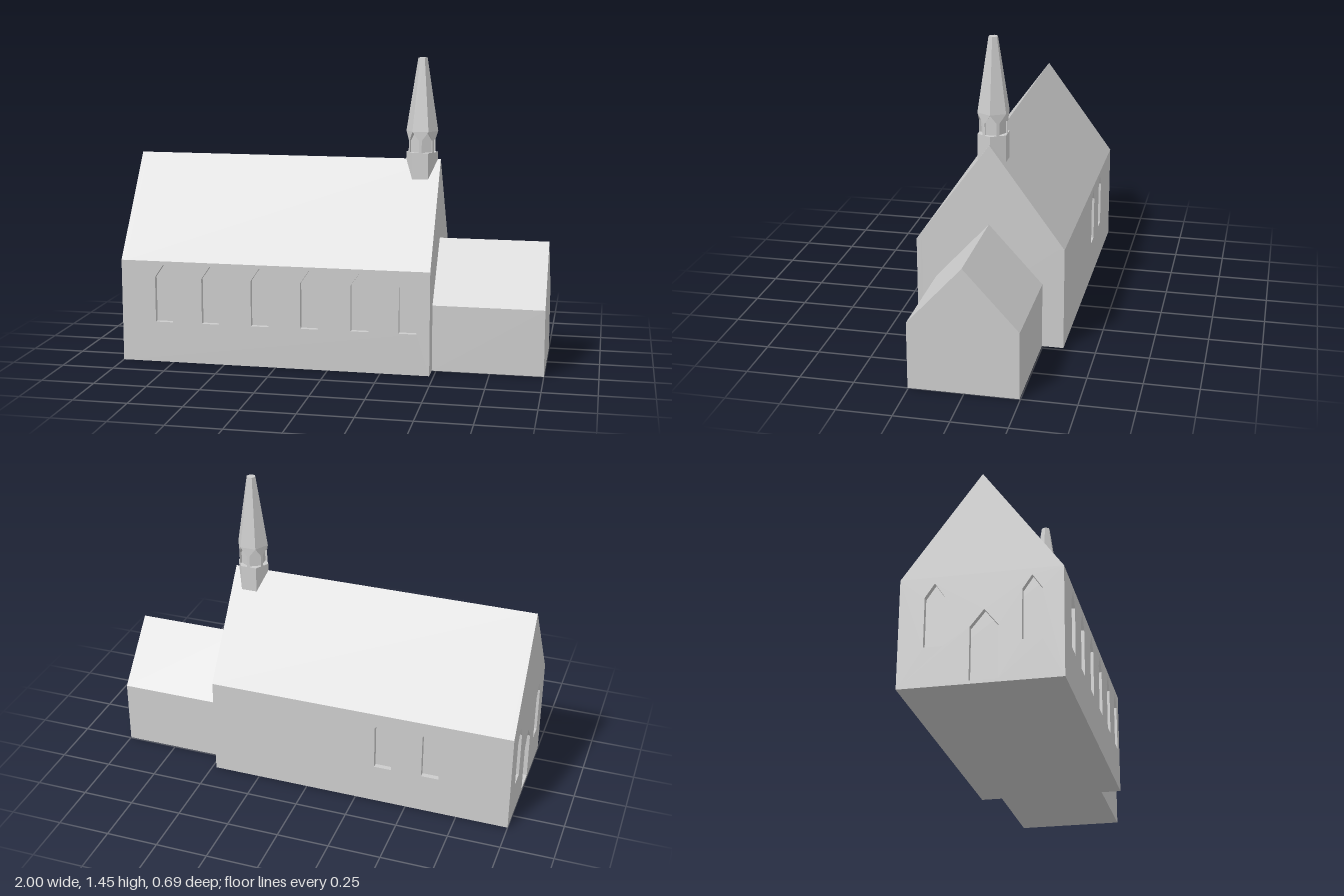
import * as THREE from 'three';

const WALL = 0.025; // recess depth of the windows
const X0 = -1, X1 = 0.48, HALF = 0.347, EAVE = 0.49, RIDGE = 0.965;

export function createModel() {
  const church = new THREE.Group();
  church.name = 'church';
  const stone = new THREE.MeshStandardMaterial({ color: 0xcccccc });
  stone.name = 'stone grey';

  const add = (name, geometry, x = 0, y = 0, z = 0, turn = 0) => {
    const mesh = new THREE.Mesh(geometry, stone);
    mesh.name = name;
    mesh.position.set(x, y, z);
    mesh.rotation.y = turn;
    church.add(mesh);
    return mesh;
  };
  const outline = (pts) => new THREE.Shape(pts.map(([x, y]) => new THREE.Vector2(x, y)));
  const extrude = (shape, depth) => new THREE.ExtrudeGeometry(shape, { depth, bevelEnabled: false });
  const gable = (half, eave, ridge) =>
    outline([[-half, 0], [half, 0], [half, eave], [0, ridge], [-half, eave]]);

  // Cuts a pointed opening into a wall outline
  const cut = (shape, x, width, bottom, shoulder, apex) => {
    const w = width / 2;
    shape.holes.push(outline([
      [x - w, bottom], [x - w, shoulder], [x, apex], [x + w, shoulder], [x + w, bottom],
    ]));
  };

  // Nave: inner core behind the openings, and the roof above it
  const inner = X0 + WALL, length = X1 - inner, mid = (X1 + inner) / 2;
  add('naveCore', new THREE.BoxGeometry(length, EAVE, 2 * (HALF - WALL)), mid, EAVE / 2, 0);
  add('naveRoof', extrude(outline([[-HALF, EAVE], [HALF, EAVE], [0, RIDGE]]), length),
    inner, 0, 0, Math.PI / 2);

  // Long walls with their windows; the back wall is turned, so its x is negated
  const longWall = (name, side, windows) => {
    const a = side * inner, b = side * X1;
    const l = Math.min(a, b), r = Math.max(a, b);
    const shape = outline([[l, 0], [r, 0], [r, EAVE], [l, EAVE]]);
    windows.forEach((x) => cut(shape, side * x, 0.084, 0.195, 0.412, 0.474));
    add(name, extrude(shape, WALL), 0, 0, side * (HALF - WALL), side > 0 ? 0 : Math.PI);
  };
  longWall('frontWall', 1, [-0.793, -0.565, -0.325, -0.087, 0.152, 0.378]);
  longWall('backWall', -1, [-0.383, -0.615]);

  // West gable with a door between two windows
  const west = gable(HALF, EAVE, RIDGE);
  cut(west, -0.197, 0.084, 0.175, 0.4, 0.462);
  cut(west, 0.215, 0.084, 0.175, 0.4, 0.462);
  cut(west, 0.015, 0.12, 0.015, 0.25, 0.325);
  add('westGable', extrude(west, WALL), inner, 0, 0, -Math.PI / 2);

  // Chancel
  add('chancel', extrude(gable(0.25, 0.313, 0.587), 1 - X1), X1, 0, 0.004, Math.PI / 2);

  // Ridge turret: six-sided base, lantern and spire with corners on the x axis
  const TX = 0.39, R = 0.076, LOW = 1.0, HIGH = 1.1;
  const hexagon = (top, bottom, height) =>
    new THREE.CylinderGeometry(top, bottom, height, 6, 1, false, Math.PI / 2).toNonIndexed();
  const flat = (g) => { g.computeVertexNormals(); return g; };
  add('turretBase', flat(hexagon(R, R, 0.2)), TX, LOW - 0.1, 0);
  add('spire', flat(hexagon(0.022, R, 0.345)), TX, HIGH + 0.1725, 0);
  add('lantern', lanternGeometry(R, LOW, 1.058, HIGH), TX, 0, 0);

  return church;
}

// Hexagonal lantern with a pointed niche cut into every corner
function lanternGeometry(R, low, shoulder, high) {
  const w = 0.027, back = 0.05;          // niche half width and back radius
  const m = R / 2 * Math.cos(Math.PI / 6); // middle of a face
  const face = (t) => R - t * Math.tan(Math.PI / 6);
  // Faces of half a corner as [radius, sideways, height]
  const half = [
    [[face(w), w, low], [face(m), m, low], [face(m), m, high], [face(w), w, high]],
    [[face(w), w, shoulder], [face(w), w, high], [R, 0, high]],
    [[back, w, low], [face(w), w, low], [face(w), w, shoulder], [back, w, shoulder]],
    [[back, w, shoulder], [face(w), w, shoulder], [R, 0, high], [back, 0, high]],
    [[back, 0, low], [back, w, low], [back, w, shoulder], [back, 0, high]],
  ];
  const positions = [];
  for (let i = 0; i < 6; i++) {
    const c = Math.cos(i * Math.PI / 3), s = Math.sin(i * Math.PI / 3);
    for (const side of [1, -1]) {
      const put = ([r, t, y]) => positions.push(r * c + side * t * s, y, r * s - side * t * c);
      for (const f of half) {
        for (let k = 1; k < f.length - 1; k++) {
          const tri = [f[0], f[k], f[k + 1]];
          (side > 0 ? tri : tri.reverse()).forEach(put);
        }
      }
    }
  }
  const geometry = new THREE.BufferGeometry();
  geometry.setAttribute('position', new THREE.Float32BufferAttribute(positions, 3));
  geometry.computeVertexNormals();
  return geometry;
}
